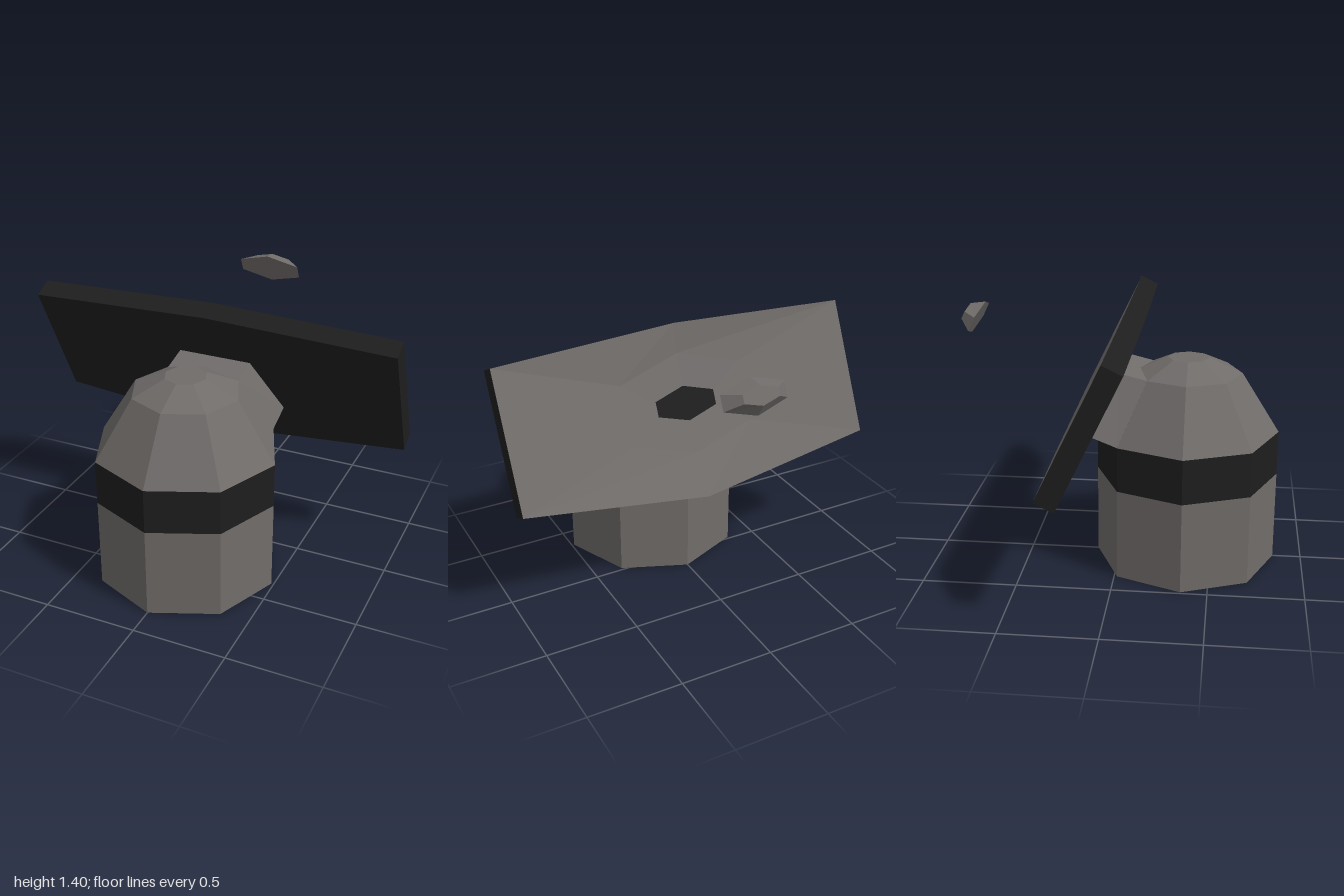
import * as THREE from 'three';

const grey = new THREE.MeshStandardMaterial({ color: 0x706c6a, flatShading: true });
const dark = new THREE.MeshStandardMaterial({ color: 0x1e1e1e, flatShading: true });

// Skin between rings of [x, y, z] corners, each running anticlockwise seen from the last ring
function loft(rings, capStart, capEnd) {
  const pos = [];
  const tri = (...corners) => corners.forEach((c) => pos.push(...c));
  const n = rings[0].length;
  for (let r = 0; r < rings.length - 1; r++) {
    const a = rings[r], b = rings[r + 1];
    for (let i = 0; i < n; i++) {
      const j = (i + 1) % n;
      tri(a[i], a[j], b[j]);
      tri(a[i], b[j], b[i]);
    }
  }
  const first = rings[0], last = rings[rings.length - 1];
  for (let i = 1; i < n - 1; i++) {
    if (capStart) tri(first[0], first[i + 1], first[i]);
    if (capEnd) tri(last[0], last[i], last[i + 1]);
  }
  const geometry = new THREE.BufferGeometry();
  geometry.setAttribute('position', new THREE.Float32BufferAttribute(pos, 3));
  geometry.computeVertexNormals();
  return geometry;
}

// Six-cornered outline with points at top and bottom centre and upright sides
function hex(w, top, sideTop, sideBottom, bottom, z) {
  return [[0, top, z], [-w, sideTop, z], [-w, sideBottom, z],
    [0, bottom, z], [w, sideBottom, z], [w, sideTop, z]];
}
const evenHex = (w, h, side, z, cy = 0.04) => hex(w, cy + h, cy + side, cy - side, cy - h, z);

export function createModel() {
  const model = new THREE.Group();
  const add = (parent, name, geometry, material) => {
    const mesh = new THREE.Mesh(geometry, material);
    mesh.name = name;
    parent.add(mesh);
    return mesh;
  };

  // Eight-sided body
  const body = new THREE.Group();
  body.name = 'body';
  body.position.z = 0.36;
  model.add(body);
  const drum = (name, rTop, rBottom, y0, y1, material, open) => {
    const geometry = new THREE.CylinderGeometry(rTop, rBottom, y1 - y0, 8, 1, open);
    geometry.translate(0, (y0 + y1) / 2, 0);
    return add(body, name, geometry, material);
  };
  drum('base', 0.487, 0.487, 0, 0.49, grey, false);
  const band = drum('band', 0.487, 0.487, 0.49, 0.73, dark, true);
  drum('domeSide', 0.285, 0.487, 0.73, 1.05, grey, true);
  drum('domeTop', 0.11, 0.285, 1.05, 1.13, grey, false);

  // The rear corner of the band rises to meet the neck
  const p = band.geometry.attributes.position;
  for (let i = 0; i < p.count; i++) {
    if (p.getZ(i) < -0.45 && p.getY(i) > 0.7) p.setY(i, 0.79);
  }

  // Neck joining the dome to the panel
  const section = (wTop, yTop, zTop, wLow, yLow, zLow) => [
    [wTop, yTop, zTop], [wLow, yLow, zLow], [-wLow, yLow, zLow], [-wTop, yTop, zTop]];
  add(model, 'neck', loft([
    section(0.2, 1.05, 0.16, 0.343, 0.73, 0.017),
    section(0.2, 1.088, 0.005, 0.343, 0.79, -0.135),
  ], true, true), grey);

  // Tilted dish panel, its open side facing the back
  const dish = new THREE.Group();
  dish.name = 'dish';
  dish.position.set(0, 0.985, -0.16);
  dish.rotation.x = 0.449;
  model.add(dish);
  const outline = (z) => hex(1, 0.46, 0.413, -0.325, -0.46, z);
  const centre = evenHex(0.17, 0.092, 0.04, 0.046);
  add(dish, 'dishFace', loft([centre, evenHex(0.35, 0.265, 0.16, 0.04), outline(0)]), grey);
  add(dish, 'dishCentre', loft([centre], true, false), dark);
  add(dish, 'dishShell', loft([outline(0), outline(0.11)], false, true), dark);

  // Small receiver floating in front of the dish face
  add(dish, 'receiver', loft([
    evenHex(0.095, 0.048, 0.021, -0.752),
    evenHex(0.173, 0.092, 0.04, -0.684),
  ], true, true), grey);

  return model;
}
